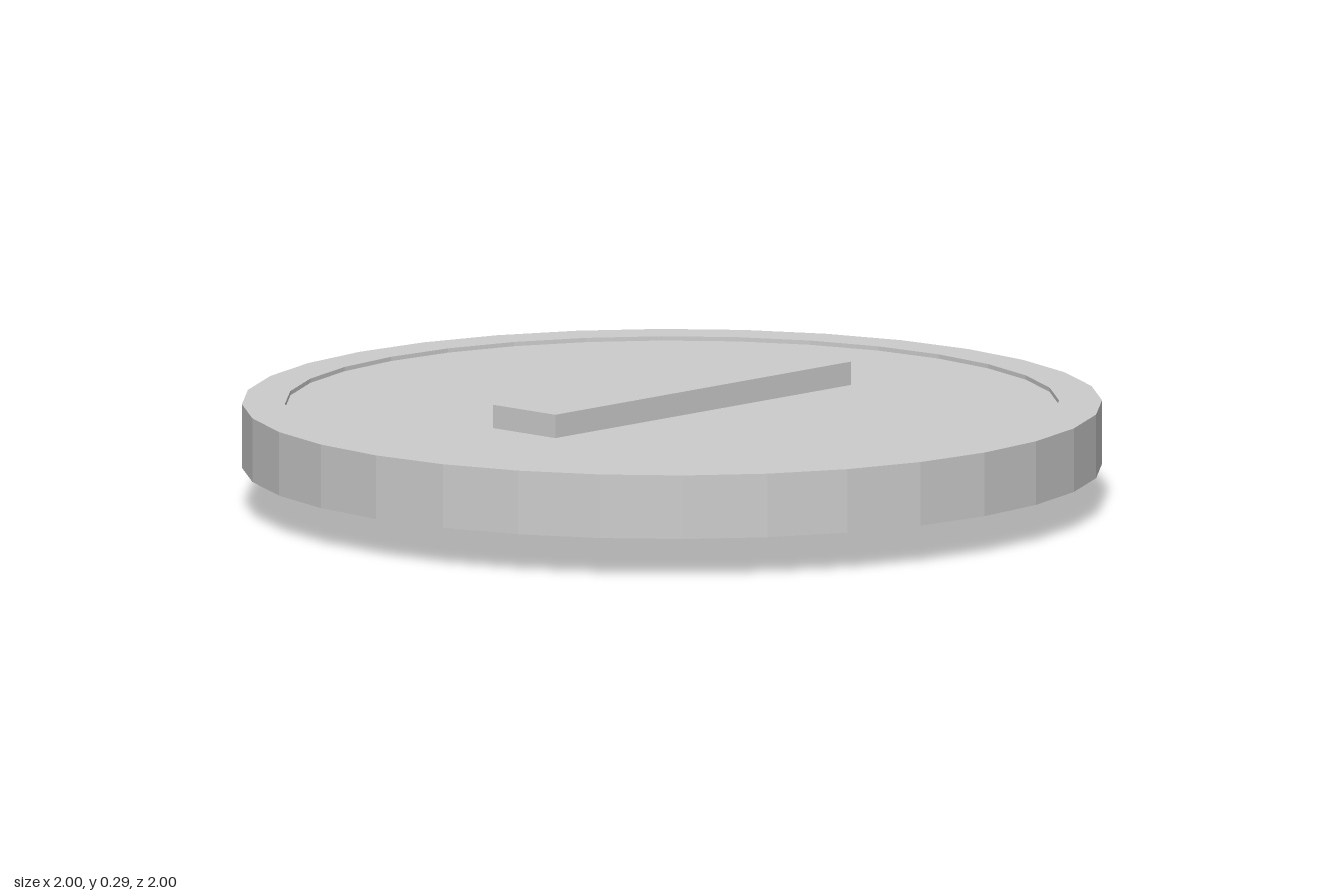
import * as THREE from 'three';

const BASE = 0.1; // underside level of the recessed panel

const flat = new THREE.MeshStandardMaterial({ color: 0xcccccc, flatShading: true });
const smooth = new THREE.MeshStandardMaterial({ color: 0xcccccc });

const points = list => list.map(([x, y]) => new THREE.Vector2(x, y));

function add(group, name, geometry, material) {
  const mesh = new THREE.Mesh(geometry, material);
  mesh.name = name;
  group.add(mesh);
  return mesh;
}

// Elliptical pad hanging from the underside; its depth runs from back (-z) to front (+z)
function padGeometry(rx, rz, backDepth, frontDepth, ripple = 0.012) {
  const profile = points([[0, -1], [0.5, -1], [0.9, -0.98], [0.95, -0.9], [1, 0]]);
  const geometry = new THREE.LatheGeometry(profile, 64);
  const p = geometry.attributes.position;
  for (let i = 0; i < p.count; i++) {
    const x = p.getX(i), z = p.getZ(i), r = Math.hypot(x, z);
    const wave = r > 0.85 ? 1 + ripple * Math.cos(Math.atan2(z, x) * 16) : 1;
    const depth = THREE.MathUtils.lerp(backDepth, frontDepth, THREE.MathUtils.smoothstep(z, -0.5, 1));
    p.setXYZ(i, x * rx * wave, p.getY(i) * depth, z * rz * wave);
  }
  geometry.computeVertexNormals();
  return geometry;
}

// Lower half of a smooth flattened ellipsoid
function domeGeometry(rx, depth, rz) {
  return new THREE.SphereGeometry(1, 40, 12, 0, Math.PI * 2, Math.PI / 2, Math.PI / 2).scale(rx, depth, rz);
}

export function createModel() {
  const model = new THREE.Group();

  // Faceted disc with a raised rim on both faces
  add(model, 'disc', new THREE.LatheGeometry(points([
    [0, BASE], [0.9, BASE], [0.9, 0.095], [1, 0.095],
    [1, 0.245], [0.9, 0.245], [0.9, 0.235], [0, 0.235],
  ]), 32), flat);

  // Straight bar on top
  add(model, 'topBar', new THREE.BoxGeometry(1, 0.06, 0.2), flat).position.y = 0.26;

  const relief = new THREE.Group();
  relief.name = 'undersideRelief';
  relief.position.y = BASE;
  model.add(relief);

  // Mirrored lobes in three rows: x, z, rx, rz, back depth, front depth, turn
  const rows = [
    ['backLobe', 0.32, -0.47, 0.26, 0.125, 0.085, 0.07, 0.08],
    ['middleLobe', 0.36, -0.04, 0.23, 0.16, 0.085, 0.03, 0.2],
    ['frontLobe', 0.3, 0.37, 0.28, 0.21, 0.055, 0.022, -0.1],
  ];
  for (const [name, x, z, rx, rz, back, front, turn] of rows) {
    for (const side of [1, -1]) {
      const lobe = add(relief, name, padGeometry(rx, rz, back, front), flat);
      lobe.position.set(side * x, 0, z);
      lobe.rotation.y = side * turn;
    }
  }

  // Central body joining the lobes
  add(relief, 'frontPlate', padGeometry(0.3, 0.23, 0.055, 0.022), flat).position.z = 0.37;
  add(relief, 'body', domeGeometry(0.3, 0.082, 0.32), smooth).position.z = -0.08;
  add(relief, 'backNeck', domeGeometry(0.16, 0.07, 0.16), smooth).position.z = -0.37;
  add(relief, 'frontBoss', domeGeometry(0.26, 0.097, 0.2), smooth).position.z = 0.23;
  for (const side of [1, -1])
    add(relief, 'frontSwelling', domeGeometry(0.2, 0.062, 0.16), smooth).position.set(side * 0.27, 0, 0.33);

  return model;
}
